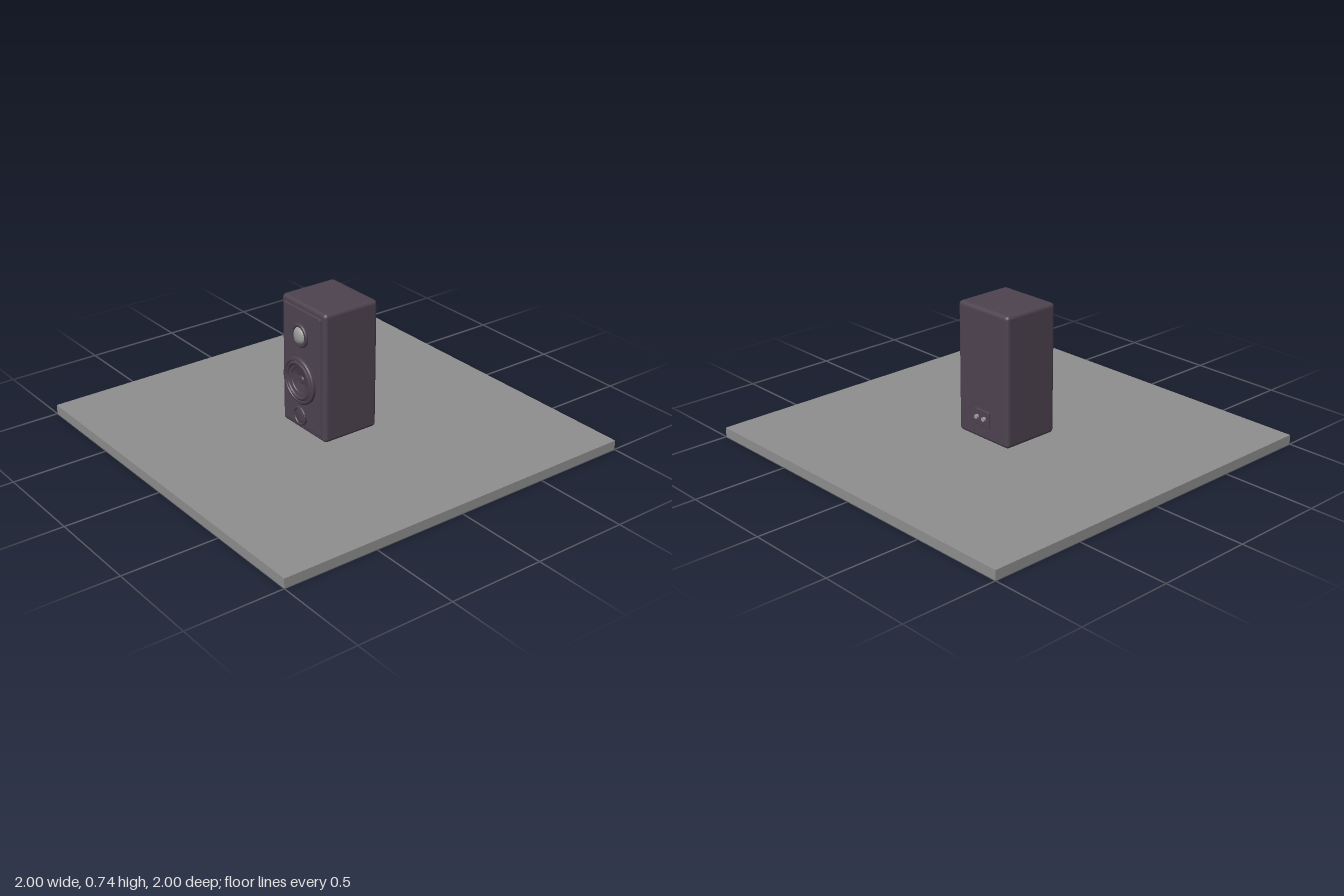
import * as THREE from 'three';
import { RoundedBoxGeometry } from 'three/addons/geometries/RoundedBoxGeometry.js';
import { toCreasedNormals } from 'three/addons/utils/BufferGeometryUtils.js';

const material = (name, color, side = THREE.FrontSide) => {
  const m = new THREE.MeshStandardMaterial({ color, side });
  m.name = name;
  return m;
};

export function createModel() {
  const group = new THREE.Group();
  const plum = material('darkPlum', 0x4d4350);
  const driver = material('driverPlum', 0x4a404c, THREE.DoubleSide);
  const grey = material('slabGrey', 0x8e8e8e);
  const silver = material('silver', 0x9c9c9c);

  const add = (name, geometry, mat, x, y, z, parent = group) => {
    const mesh = new THREE.Mesh(geometry, mat);
    mesh.name = name;
    mesh.position.set(x, y, z);
    parent.add(mesh);
    return mesh;
  };

  // Lathe whose axis points forward; points are [radius, z]
  const turned = (name, points, mat, x, y) => {
    const lathe = new THREE.LatheGeometry(points.map(([r, z]) => new THREE.Vector2(r, z)), 48);
    lathe.rotateX(Math.PI / 2);
    return add(name, toCreasedNormals(lathe, 0.5), mat, x, y, 0);
  };

  // Square slab and cabinet
  add('baseSlab', new THREE.BoxGeometry(2, 0.05, 2), grey, 0, 0.025, 0);
  add('cabinet', new RoundedBoxGeometry(0.352, 0.685, 0.318, 4, 0.02), plum, 0, 0.396, 0.001);
  add('frontBaffle', new RoundedBoxGeometry(0.29, 0.626, 0.02, 2, 0.006), plum, 0, 0.396, 0.158);

  // Woofer: narrow neck, wide rim, surround roll and sunken cone
  turned('wooferFrame', [
    [0.063, 0.16], [0.063, 0.178], [0.123, 0.178], [0.123, 0.19], [0.117, 0.196],
    [0.106, 0.197], [0.103, 0.192], [0.098, 0.196], [0.092, 0.199], [0.086, 0.196], [0.083, 0.19],
  ], driver, 0, 0.34);
  turned('wooferCone', [
    [0.083, 0.19], [0.066, 0.187], [0.063, 0.183], [0.02, 0.171],
  ], driver, 0, 0.34);
  turned('wooferCap', [[0.021, 0.171], [0.017, 0.176], [0.009, 0.179], [0, 0.18]], driver, 0, 0.34);

  // Tweeter: ring with a silver dome
  turned('tweeterRing', [
    [0, 0.167], [0.058, 0.173], [0.062, 0.176], [0.062, 0.184], [0.057, 0.189],
    [0.046, 0.189], [0.043, 0.182],
  ], driver, 0, 0.58);
  turned('tweeterDome', [
    [0.043, 0.182], [0.04, 0.188], [0.032, 0.194], [0.02, 0.198], [0, 0.2],
  ], silver, 0, 0.58);

  // Small lower driver with a shallow dished face
  turned('lowerRing', [
    [0, 0.167], [0.046, 0.174], [0.05, 0.177], [0.05, 0.186], [0.046, 0.19],
    [0.04, 0.19], [0.037, 0.185],
  ], driver, 0, 0.146);
  turned('lowerDome', [[0.037, 0.185], [0.025, 0.188], [0.012, 0.19], [0, 0.19]], driver, 0, 0.146);

  // Rear terminal plate with two posts
  add('terminalPlate', new RoundedBoxGeometry(0.104, 0.084, 0.014, 2, 0.004), plum, 0, 0.172, -0.16);
  for (const x of [-0.026, 0.026]) {
    const stem = new THREE.CylinderGeometry(0.006, 0.006, 0.02, 16).rotateX(Math.PI / 2);
    add('terminalStem', stem, silver, x, 0.176, -0.168);
    const cap = new THREE.CylinderGeometry(0.011, 0.011, 0.013, 20).rotateX(Math.PI / 2);
    add('terminalCap', cap, silver, x, 0.176, -0.178);
  }
  return group;
}
